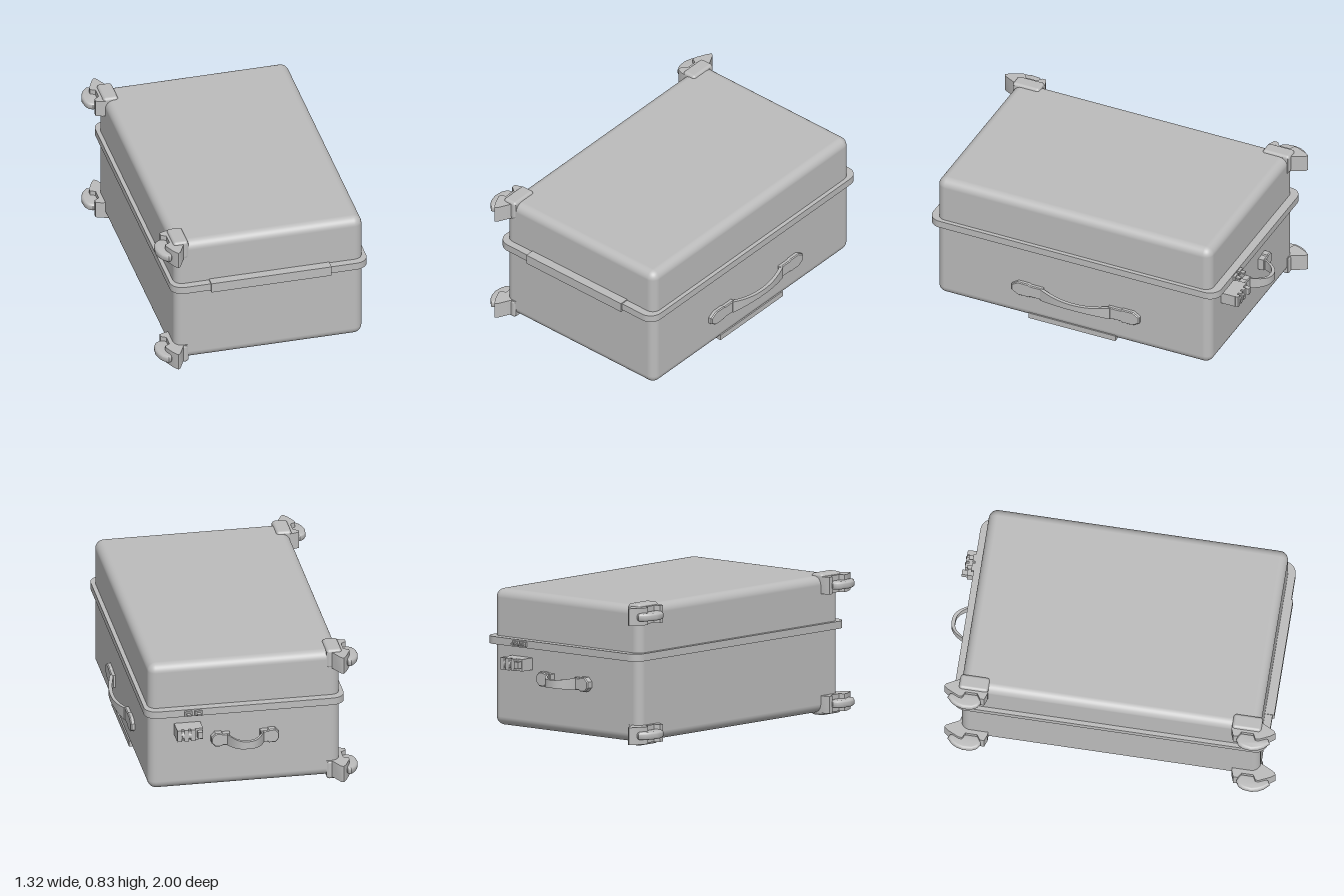
import * as THREE from 'three';
import { toCreasedNormals } from 'three/addons/utils/BufferGeometryUtils.js';
import { RoundedBoxGeometry } from 'three/addons/geometries/RoundedBoxGeometry.js';

const grey = new THREE.MeshStandardMaterial({ color: 0xbcbcbc });
grey.name = 'shell grey';

const YC = 0.4175, ZC = 0.0225; // mirror planes of the case

function add(parent, name, geometry) {
  const mesh = new THREE.Mesh(geometry, grey);
  mesh.name = name;
  parent.add(mesh);
  return mesh;
}

// Box given by its limits, optionally rounded
function box(parent, name, [x0, x1], [y0, y1], [z0, z1], radius = 0) {
  const size = [Math.abs(x1 - x0), Math.abs(y1 - y0), Math.abs(z1 - z0)];
  const geo = radius ? new RoundedBoxGeometry(...size, 4, radius) : new THREE.BoxGeometry(...size);
  geo.translate((x0 + x1) / 2, (y0 + y1) / 2, (z0 + z1) / 2);
  return add(parent, name, geo);
}

// Outline in x/z raised from y0 to y1, with an optional rounded rim
function plan(shape, y0, y1, bevel = 0) {
  const geo = new THREE.ExtrudeGeometry(shape, {
    depth: y1 - y0 - 2 * bevel, curveSegments: 6, bevelEnabled: bevel > 0,
    bevelSize: bevel, bevelThickness: bevel, bevelOffset: -bevel, bevelSegments: 4,
  });
  geo.rotateX(-Math.PI / 2).translate(0, y0 + bevel, 0);
  return toCreasedNormals(geo, 0.6);
}

function polygon(points) {
  return new THREE.Shape(points.map(([x, y]) => new THREE.Vector2(x, y)));
}

function roundedRect(x0, x1, y0, y1, r) {
  const s = new THREE.Shape();
  s.absarc(x1 - r, y1 - r, r, 0, Math.PI / 2);
  s.absarc(x0 + r, y1 - r, r, Math.PI / 2, Math.PI);
  s.absarc(x0 + r, y0 + r, r, Math.PI, Math.PI * 1.5);
  s.absarc(x1 - r, y0 + r, r, Math.PI * 1.5, Math.PI * 2);
  s.closePath();
  return s;
}

// Carry handle facing +z: bowed strap narrowing to a waist, and two pointed pads
function handle(name, { span, reach, base, waist, height, power, padIn, padOut, padDepth }) {
  const group = new THREE.Group();
  group.name = name;
  const thick = 0.022;
  const geo = new THREE.BoxGeometry(span, height, thick, 14, 1, 1);
  const p = geo.attributes.position;
  for (let i = 0; i < p.count; i++) {
    const t = Math.abs(p.getX(i)) / (span / 2);
    const bow = 1 - Math.pow(t, power);
    p.setY(i, p.getY(i) * (waist + (1 - waist) * t * t));
    p.setZ(i, p.getZ(i) + base + (reach - base - thick / 2) * bow);
  }
  add(group, 'strap', toCreasedNormals(geo, 0.5));
  const h = height / 2, len = padOut - padIn;
  for (const s of [-1, 1]) {
    const outline = [[padIn, -h], [padIn + len * 0.4, -h], [padIn + len * 0.45, -h - 0.006],
      [padOut - len * 0.2, -h - 0.006], [padOut, -h * 0.5]];
    const pts = [...outline, ...outline.slice().reverse().map(([x, y]) => [x, -y])];
    add(group, 'handlePad', new THREE.ExtrudeGeometry(polygon(pts.map(([x, y]) => [x * s, y])), {
      depth: padDepth - 0.006, bevelEnabled: true, bevelSize: 0.005, bevelThickness: 0.006,
      bevelOffset: -0.005, bevelSegments: 1,
    }));
  }
  return group;
}

// Corner guard with bracket and wheel; sy and sz choose the corner
function wheelCorner(sy, sz) {
  const group = new THREE.Group();
  group.name = 'wheelCorner';
  const Y = (a, b) => [YC + sy * a, YC + sy * b].sort((m, n) => m - n);
  const Z = (z) => ZC + sz * z;
  const outline = (pts) => polygon(pts.map(([x, z]) => [x, -Z(z)]));

  // cap wrapped over the shell corner
  box(group, 'cornerCap', [-0.56, -0.47], Y(0.3, 0.4175), [Z(0.72), Z(0.892)], 0.018);
  // pointed bracket with a hollow for the wheel
  const bracket = [[-0.47, 0.72], [-0.565, 0.72], [-0.605, 0.735], [-0.605, 0.76], [-0.575, 0.78],
    [-0.575, 0.85], [-0.605, 0.865], [-0.605, 0.885], [-0.575, 0.95], [-0.555, 0.9775],
    [-0.54, 0.968], [-0.5, 0.89], [-0.47, 0.885]];
  add(group, 'wheelBracket', plan(outline(bracket), ...Y(0.3, 0.402)));
  // rounded wheel
  const wheel = [[-0.57, 0.76], [-0.615, 0.755], [-0.64, 0.77], [-0.655, 0.8], [-0.66, 0.85],
    [-0.65, 0.89], [-0.635, 0.92], [-0.605, 0.95], [-0.585, 0.94], [-0.57, 0.9]];
  add(group, 'wheel', plan(outline(wheel), ...Y(0.327, 0.372), 0.014));
  return group;
}

export function createModel() {
  const model = new THREE.Group();
  model.name = 'suitcase';

  // shell and the rim where the halves meet
  box(model, 'shell', [-0.55, 0.585], [0.015, 0.82], [-0.86, 0.905], 0.052);
  add(model, 'rim', plan(roundedRect(-0.575, 0.61, -0.95, 0.91, 0.075), 0.5, 0.544));
  box(model, 'hingeStrip', [-0.345, 0.38], [0.49, 0.55], [0.89, 0.96]);
  box(model, 'footStrip', [0.545, 0.589], [0.012, 0.047], [-0.25, 0.31]);

  // wheels on all four corners of one end
  for (const sy of [-1, 1]) for (const sz of [-1, 1]) model.add(wheelCorner(sy, sz));

  // long handle on the left side
  const side = handle('sideHandle', { span: 0.45, reach: 0.07, base: 0.018, waist: 0.48,
    height: 0.078, power: 2, padIn: 0.21, padOut: 0.412, padDepth: 0.024 });
  side.rotation.y = Math.PI / 2;
  side.position.set(0.585, 0.215, 0);
  model.add(side);

  // short handle on the back
  const back = handle('backHandle', { span: 0.225, reach: 0.14, base: 0.02, waist: 0.65,
    height: 0.072, power: 2.6, padIn: 0.09, padOut: 0.2, padDepth: 0.04 });
  back.rotation.y = Math.PI;
  back.position.set(0.018, 0.325, -0.86);
  model.add(back);

  // combination lock with dials and a push button
  box(model, 'lockBody', [0.28, 0.435], [0.367, 0.438], [-0.95, -0.85]);
  for (const x of [0.34, 0.38, 0.42]) {
    box(model, 'lockBlock', [x - 0.013, x + 0.013], [0.367, 0.438], [-0.968, -0.94]);
  }
  for (const x of [0.36, 0.4]) {
    const dial = new THREE.CylinderGeometry(0.024, 0.024, 0.014, 12);
    dial.rotateZ(Math.PI / 2).translate(x, 0.402, -0.95);
    add(model, 'lockDial', toCreasedNormals(dial, 0.6));
  }
  box(model, 'lockButton', [0.285, 0.315], [0.385, 0.425], [-0.982, -0.94]);

  // zip pulls on the rim above the lock
  for (const x of [0.3, 0.36]) {
    box(model, 'zipSlider', [x - 0.022, x + 0.022], [0.508, 0.536], [-0.925, -0.9]);
    box(model, 'zipPull', [x - 0.012, x + 0.012], [0.517, 0.527], [-0.95, -0.92]);
  }
  return model;
}
